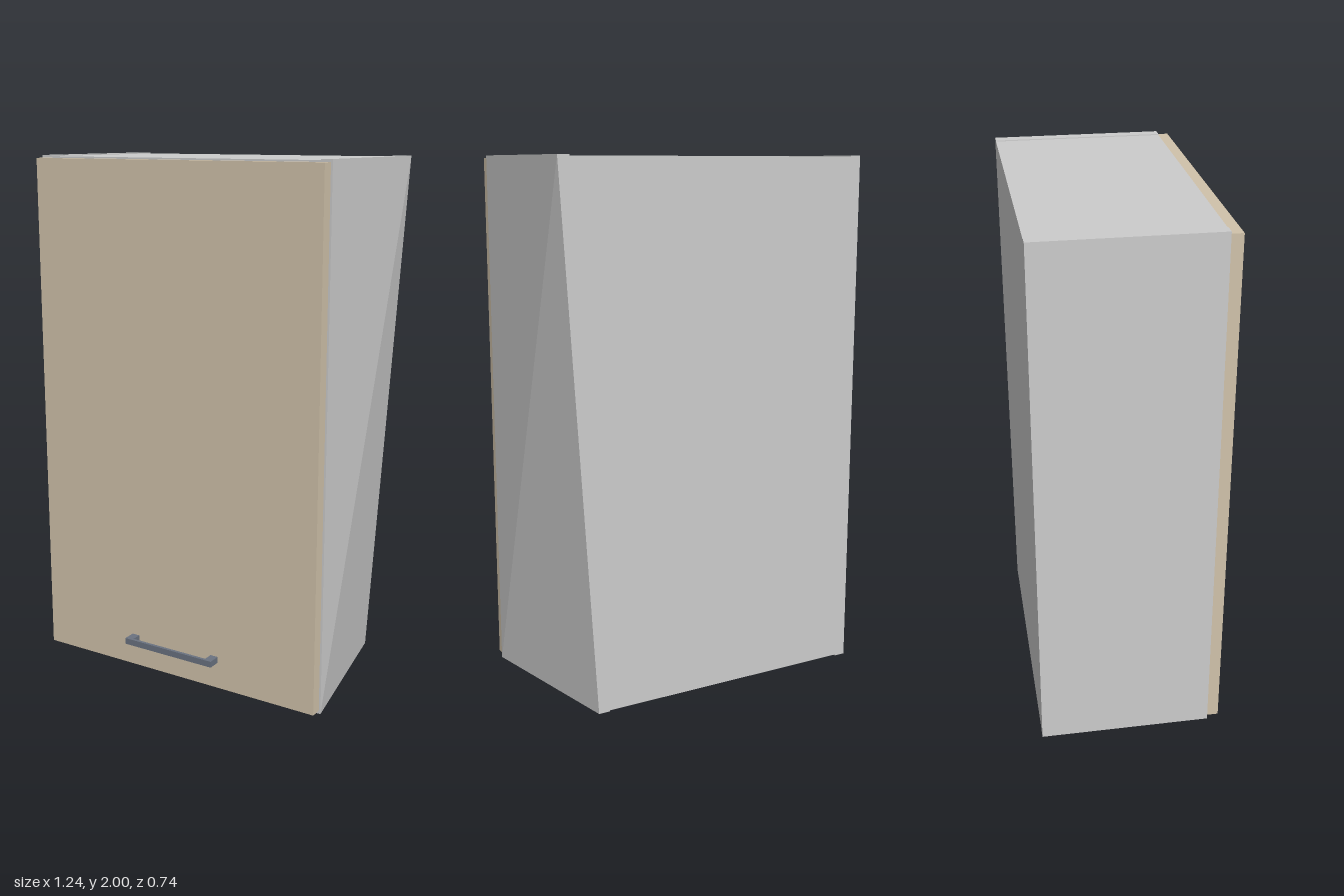
import * as THREE from 'three';

const W = 0.62, BACK = -0.372, FRONT = 0.278, T = 0.044, STEP = 0.004;
const LEAN = 0.125; // inward shift of the lower back corner on the +x side

const grey = new THREE.MeshStandardMaterial({ color: 0xcccccc, flatShading: true });
const beige = new THREE.MeshStandardMaterial({ color: 0xd0c2aa });
const slate = new THREE.MeshStandardMaterial({ color: 0x6a7280 });

// Box given by its minimum and maximum corners
function box(x0, x1, y0, y1, z0, z1) {
  return new THREE.BoxGeometry(x1 - x0, y1 - y0, z1 - z0)
    .translate((x0 + x1) / 2, (y0 + y1) / 2, (z0 + z1) / 2);
}

// Pull the +x side inwards towards its lower back corner
function lean(geometry) {
  const p = geometry.attributes.position;
  for (let i = 0; i < p.count; i++) {
    if (p.getX(i) <= 0) continue;
    const down = 1 - p.getY(i) / 2;
    const back = (FRONT - p.getZ(i)) / (FRONT - BACK);
    p.setX(i, p.getX(i) - LEAN * down * back);
  }
  const flat = geometry.toNonIndexed();
  flat.computeVertexNormals();
  return flat;
}

export function createModel() {
  const model = new THREE.Group();
  model.name = 'wallCabinet';
  const add = (name, geometry, material) => {
    const mesh = new THREE.Mesh(geometry, material);
    mesh.name = name;
    model.add(mesh);
  };

  // Carcass: full-height sides, boards set in very slightly at top and bottom
  const inner = W - T;
  add('rightSide', lean(box(-W, -inner, 0, 2, BACK, FRONT)), grey);
  add('leftSide', lean(box(inner, W, 0, 2, BACK, FRONT)), grey);
  add('bottomBoard', lean(box(-inner, inner, STEP, STEP + T, BACK, FRONT)), grey);
  add('topBoard', lean(box(-inner, inner, 2 - STEP - T, 2 - STEP, BACK, FRONT)), grey);
  add('backPanel', lean(box(-inner, inner, STEP + T, 2 - STEP - T, BACK, BACK + 0.01)), grey);

  // Door
  add('door', box(-0.613, 0.613, 0.012, 1.99, FRONT, 0.322), beige);

  // Bracket handle, extruded upwards from its plan outline (x, z)
  const plan = [[-0.2, 0.322], [-0.168, 0.322], [-0.168, 0.36], [0.168, 0.36],
    [0.168, 0.322], [0.2, 0.322], [0.2, 0.372], [-0.2, 0.372]];
  const outline = new THREE.Shape(plan.map(([x, z]) => new THREE.Vector2(x, -z)));
  const handle = new THREE.ExtrudeGeometry(outline, { depth: 0.024, bevelEnabled: false })
    .rotateX(-Math.PI / 2).translate(0, 0.116, 0);
  add('handle', handle, slate);

  return model;
}
